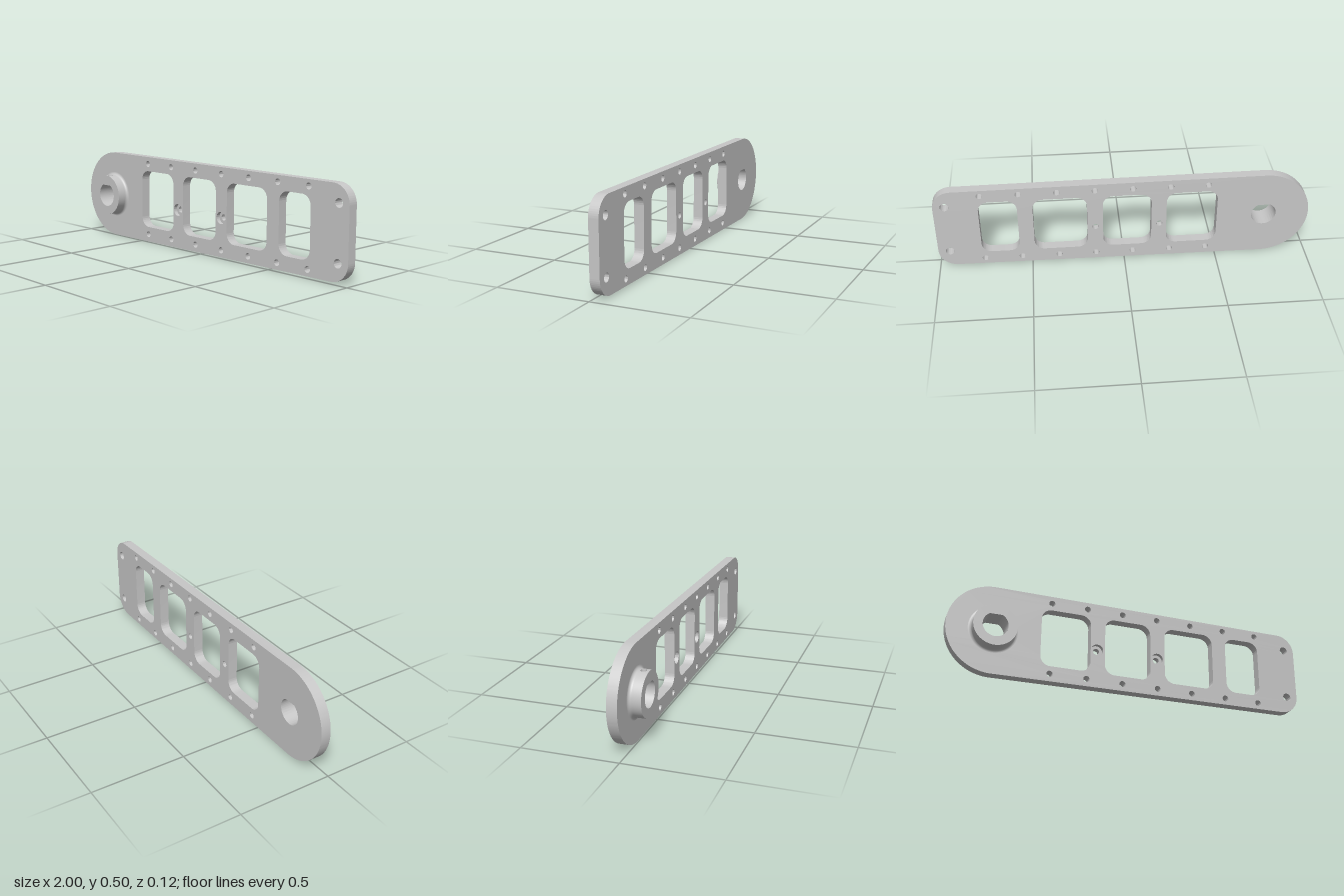
import * as THREE from 'three';
import { toCreasedNormals } from 'three/addons/utils/BufferGeometryUtils.js';

const BACK = -0.058, FACE = -0.005, HUB_END = 0.059;
const HUB = { x: -0.755, y: 0.2475, r: 0.1155 };
const BORE = { r: 0.067, flat: 0.058 };
const SCREW = { z: 0.03, r: 0.015 };

const circle = (x, y, r) => new THREE.Path().absarc(x, y, r, 0, Math.PI * 2, true);

// Round bore with a flat across its top
function boreHole(x, y) {
  const a = Math.asin(BORE.flat / BORE.r);
  const p = new THREE.Path();
  p.absarc(x, y, BORE.r, a, Math.PI - a, true);
  p.closePath();
  return p;
}

function roundedWindow(x0, x1, y0, y1, r) {
  const p = new THREE.Path();
  p.absarc(x1 - r, y1 - r, r, 0, Math.PI / 2, false);
  p.absarc(x0 + r, y1 - r, r, Math.PI / 2, Math.PI, false);
  p.absarc(x0 + r, y0 + r, r, Math.PI, Math.PI * 1.5, false);
  p.absarc(x1 - r, y0 + r, r, Math.PI * 1.5, Math.PI * 2, false);
  p.closePath();
  return p;
}

function extrude(shape, z0, z1) {
  const g = new THREE.ExtrudeGeometry(shape, { depth: z1 - z0, bevelEnabled: false, curveSegments: 40 });
  g.translate(0, 0, z0);
  return toCreasedNormals(g, 0.5);
}

export function createModel() {
  const metal = new THREE.MeshStandardMaterial({ color: 0xc7c7c7, side: THREE.DoubleSide });
  metal.name = 'light grey metal';
  const model = new THREE.Group();
  model.name = 'armPlate';
  const add = (parent, name, geometry) => {
    const m = new THREE.Mesh(geometry, metal);
    m.name = name;
    parent.add(m);
  };

  // Plate: large round end on the left, slightly tapered to a rounded square end
  const R = 0.2475, c = 0.1, lo = 0.01, hi = 0.486;
  const plate = new THREE.Shape();
  plate.absarc(-1 + R, R, R, Math.PI / 2, Math.PI * 1.5, false);
  plate.absarc(1 - c, lo + c, c, Math.PI * 1.5, Math.PI * 2, false);
  plate.absarc(1 - c, hi - c, c, 0, Math.PI / 2, false);
  plate.closePath();
  plate.holes.push(boreHole(HUB.x, HUB.y));
  for (const [x0, x1] of [[-0.5, -0.227], [-0.147, 0.113], [0.196, 0.483], [0.564, 0.767]])
    plate.holes.push(roundedWindow(x0, x1, 0.087, 0.412, 0.055));
  for (let i = 0; i < 7; i++)
    for (const y of [0.044, 0.453]) plate.holes.push(circle(-0.447 + i * 0.2, y, 0.017));
  for (const y of [0.104, 0.393]) plate.holes.push(circle(0.938, y, 0.023));
  const bores = [[-0.19, 0.219], [0.153, 0.219]];
  for (const [x, y] of bores) plate.holes.push(circle(x, y, 0.033));
  add(model, 'plate', extrude(plate, BACK, FACE));

  // Stepped floors of the two counterbored holes
  for (const [x, y] of bores) {
    const ring = new THREE.Shape().absarc(x, y, 0.033, 0, Math.PI * 2, false);
    ring.holes.push(circle(x, y, 0.017));
    add(model, 'counterboreStep', extrude(ring, BACK, FACE - 0.022));
  }

  // Hub, built around its own axis
  const hub = new THREE.Group();
  hub.name = 'hub';
  hub.position.set(HUB.x, HUB.y, 0);
  model.add(hub);

  // Fillet where the hub meets the plate
  const f = 0.016, wallStart = FACE + f - 0.001;
  const fillet = [];
  for (let i = 0; i <= 8; i++) {
    const t = (i / 8) * Math.PI / 2;
    fillet.push(new THREE.Vector2(HUB.r + f * (1 - Math.sin(t)), FACE + f * (1 - Math.cos(t))));
  }
  add(hub, 'hubFillet', new THREE.LatheGeometry(fillet, 72).rotateX(Math.PI / 2));

  // Side wall, open for four of its 72 segments at the top for the set screw patch
  const a = Math.PI / 18;
  const wall = [new THREE.Vector2(HUB.r, wallStart), new THREE.Vector2(HUB.r, HUB_END)];
  add(hub, 'hubWall', new THREE.LatheGeometry(wall, 68, Math.PI + a, 2 * Math.PI - 2 * a).rotateX(Math.PI / 2));

  // Patch with the set screw hole, bent onto the wall
  const w = a * HUB.r, pts = [];
  for (let i = -2; i <= 2; i++) pts.push(new THREE.Vector2(i * w / 2, wallStart));
  for (let i = 2; i >= -2; i--) pts.push(new THREE.Vector2(i * w / 2, HUB_END));
  const patchShape = new THREE.Shape(pts);
  patchShape.holes.push(circle(0, SCREW.z, SCREW.r));
  const patch = new THREE.ShapeGeometry(patchShape, 24);
  const p = patch.attributes.position, n = patch.attributes.normal;
  for (let i = 0; i < p.count; i++) {
    const t = p.getX(i) / HUB.r, z = p.getY(i);
    p.setXYZ(i, -HUB.r * Math.sin(t), HUB.r * Math.cos(t), z);
    n.setXYZ(i, -Math.sin(t), Math.cos(t), 0);
  }
  add(hub, 'hubScrewPatch', patch);

  // Set screw hole, down to the bore flat
  const depth = HUB.r - BORE.flat - 0.001;
  add(hub, 'setScrewHole', new THREE.CylinderGeometry(SCREW.r, SCREW.r, depth, 24, 1, true)
    .translate(0, BORE.flat + depth / 2, SCREW.z));

  // Front face of the hub
  const face = new THREE.Shape().absarc(0, 0, HUB.r, 0, Math.PI * 2, false);
  face.holes.push(boreHole(0, 0));
  add(hub, 'hubFace', new THREE.ShapeGeometry(face, 36).translate(0, 0, HUB_END));

  // Bore through the hub: round wall and flat
  const half = Math.acos(BORE.flat / BORE.r), len = HUB_END - FACE, mid = FACE + len / 2;
  add(hub, 'boreWall', new THREE.CylinderGeometry(BORE.r, BORE.r, len, 48, 1, true, Math.PI + half, 2 * Math.PI - 2 * half)
    .rotateX(Math.PI / 2).translate(0, 0, mid));
  add(hub, 'boreFlat', new THREE.PlaneGeometry(2 * BORE.r * Math.sin(half), len)
    .rotateX(Math.PI / 2).translate(0, BORE.flat, mid));

  return model;
}
